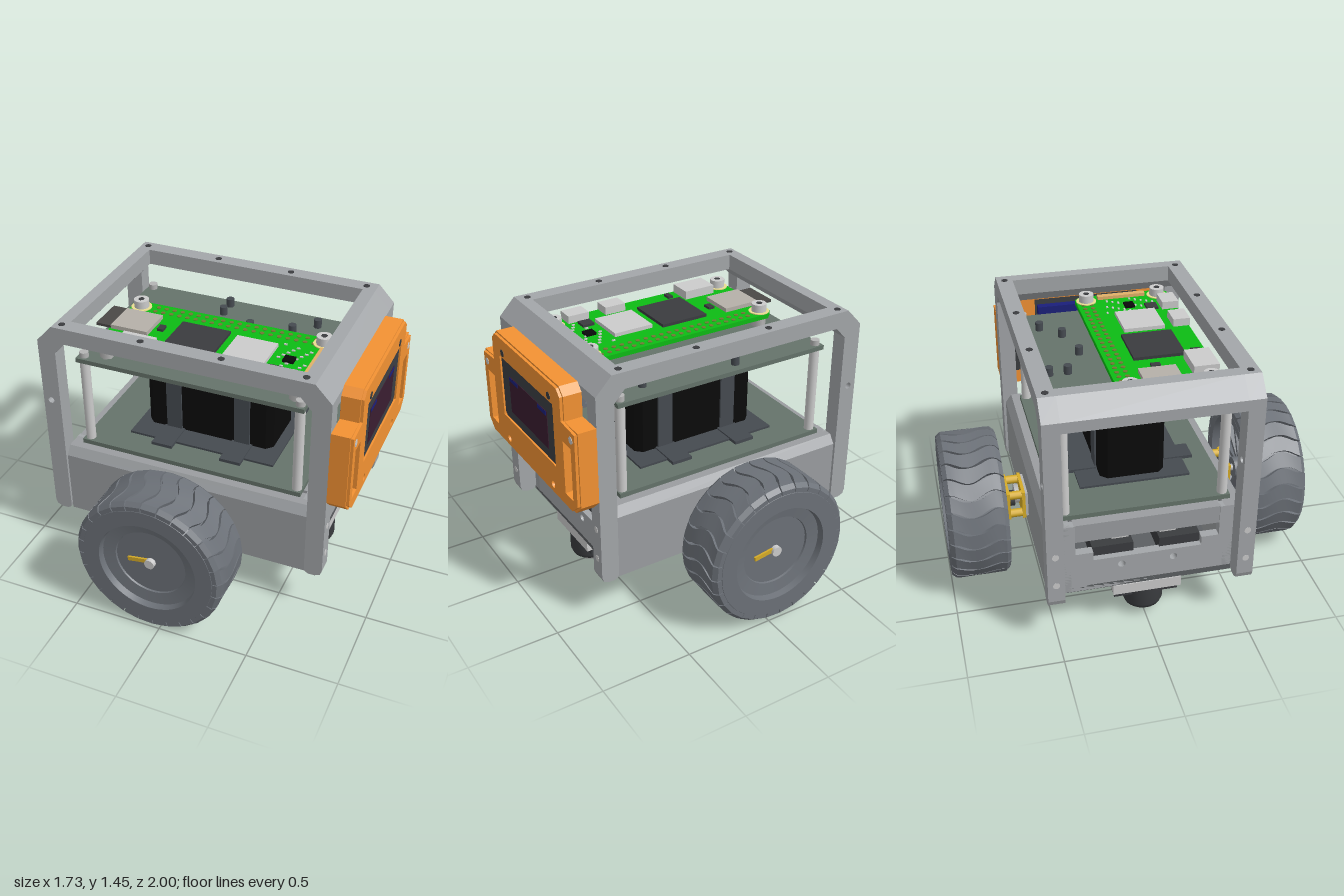
import * as THREE from 'three';
import { toCreasedNormals } from 'three/addons/utils/BufferGeometryUtils.js';

const C = { grey: 0xcccccc, frame: 0xa3a6a9, panel: 0x9a9da0, plate: 0x65736a, dark: 0x3a3c3f, black: 0x0a0a0a,
  tyre: 0x6c7178, orange: 0xf39233, green: 0x0cbc14, brass: 0xd6ac28, blue: 0x1a1f7a, strap: 0x454a50, steel: 0xb4b4b4 };
const mats = {};
const mat = c => (mats[c] ??= new THREE.MeshStandardMaterial({ color: c }));

function add(parent, name, geo, color) {
  const m = new THREE.Mesh(geo, mat(color));
  m.name = name;
  parent.add(m);
  return m;
}
// Box given by its limits
function box(parent, name, color, x0, x1, y0, y1, z0, z1) {
  const m = add(parent, name, new THREE.BoxGeometry(x1 - x0, y1 - y0, z1 - z0), color);
  m.position.set((x0 + x1) / 2, (y0 + y1) / 2, (z0 + z1) / 2);
  return m;
}
// Cylinder given by its centre and axis
function cyl(parent, name, color, r, h, x, y, z, axis = 'y', sides = 20) {
  const g = new THREE.CylinderGeometry(r, r, h, sides);
  if (axis === 'x') g.rotateZ(Math.PI / 2);
  if (axis === 'z') g.rotateX(Math.PI / 2);
  const m = add(parent, name, g, color);
  m.position.set(x, y, z);
  return m;
}
const vecs = pts => pts.map(p => new THREE.Vector2(...p));
const poly = pts => new THREE.Shape(vecs(pts));
const extrude = (shape, depth) => new THREE.ExtrudeGeometry(shape, { depth, curveSegments: 10, bevelEnabled: false });
function hole(shape, x, y, r) {
  const p = new THREE.Path();
  p.absarc(x, y, r, 0, Math.PI * 2, true);
  shape.holes.push(p);
}
const rectHole = (shape, x0, x1, y0, y1) => shape.holes.push(new THREE.Path(vecs([[x0, y0], [x0, y1], [x1, y1], [x1, y0]])));
// Rectangle with cut corners
const cutRect = (w, h, c) => poly([[c - w, -h], [w - c, -h], [w, c - h], [w, h - c], [w - c, h], [c - w, h], [-w, h - c], [-w, c - h]]);

// One raised wavy tread bar across the tyre
function treadGeometry(start, width) {
  const n = 14, pos = [], idx = [];
  for (let i = 0; i <= n; i++) {
    const u = i / n, edge = Math.abs(2 * u - 1);
    const hi = 0.412 - 0.02 * Math.max(0, edge - 0.85) / 0.15;
    const a0 = start + 0.055 * Math.sin(u * Math.PI * 2.6), a1 = a0 + width * (1 + 0.07 * Math.sin(u * 14));
    for (const [r, a] of [[0.35, a0], [hi, a0], [hi, a1], [0.35, a1]])
      pos.push(r * Math.cos(a), r * Math.sin(a), 0.676 + 0.322 * u);
  }
  for (let i = 0; i < n; i++) for (let k = 0; k < 4; k++) {
    const a = i * 4 + k, b = i * 4 + (k + 1) % 4;
    idx.push(a, b, b + 4, a, b + 4, a + 4);
  }
  const e = n * 4;
  idx.push(0, 2, 1, 0, 3, 2, e, e + 1, e + 2, e, e + 2, e + 3);
  const g = new THREE.BufferGeometry();
  g.setAttribute('position', new THREE.Float32BufferAttribute(pos, 3));
  g.setIndex(idx);
  return toCreasedNormals(g, 0.5);
}

// Wheel, gearbox and motor of one side, centred on the axle
function createDrive() {
  const g = new THREE.Group();
  const profile = vecs([[0, 0.8], [0.3, 0.8], [0.31, 0.675], [0.355, 0.675], [0.385, 0.71], [0.385, 0.965], [0.365, 1],
    [0.275, 1], [0.268, 0.965], [0.2, 0.955], [0.197, 0.945], [0, 0.945]]);
  add(g, 'wheel', toCreasedNormals(new THREE.LatheGeometry(profile, 56).rotateX(Math.PI / 2), 0.5), C.tyre);
  const n = 28, step = Math.PI * 2 / n;
  for (let i = 0; i < n; i++) add(g, 'treadBar', treadGeometry(i * step, step * 0.88), C.tyre);
  for (let i = 0; i < 6; i++) {
    const s = box(g, 'wheelRib', C.tyre, -0.3, 0.3, -0.012, 0.012, 0.74, 0.81);
    s.rotation.z = i * Math.PI / 6;
  }
  cyl(g, 'hub', C.tyre, 0.06, 0.12, 0, 0, 0.76, 'z');
  cyl(g, 'hubCap', C.grey, 0.028, 0.03, 0, 0, 0.955, 'z');
  const pin = box(g, 'hubPin', C.brass, -0.13, 0, -0.012, 0.012, 0.94, 0.956);
  pin.rotation.z = 0.15;
  cyl(g, 'axle', C.steel, 0.02, 0.2, 0, 0, 0.69, 'z');
  // Gearbox between brass plates
  for (const z of [0.55, 0.635]) box(g, 'gearboxPlate', C.brass, -0.105, 0.105, -0.085, 0.085, z, z + 0.018);
  for (const x of [-0.08, 0.08]) for (const y of [-0.06, 0.06]) cyl(g, 'gearboxPost', C.brass, 0.024, 0.1, x, y, 0.6, 'z', 12);
  cyl(g, 'gear', C.steel, 0.055, 0.025, -0.025, 0, 0.585, 'z', 16);
  cyl(g, 'gear', C.dark, 0.045, 0.025, 0.03, 0.01, 0.617, 'z', 16);
  box(g, 'motor', C.steel, -0.1, 0.1, -0.075, 0.075, 0.12, 0.55);
  return g;
}

function createFrame(g) {
  // Side hoops with chamfered corners and legs
  for (const s of [-1, 1]) {
    const hoop = poly([[-0.82, 0.25], [-0.785, 0.25], [-0.765, 0.262], [-0.76, 0.29], [-0.76, 1.29], [-0.7, 1.355], [0.59, 1.355],
      [0.65, 1.29], [0.65, 0.29], [0.655, 0.262], [0.675, 0.25], [0.71, 0.25], [0.74, 0.262], [0.75, 0.29], [0.75, 1.35],
      [0.66, 1.445], [-0.77, 1.445], [-0.86, 1.35], [-0.86, 0.29], [-0.85, 0.262]]);
    hole(hoop, -0.815, 0.985, 0.018);
    add(g, 'sideHoop', extrude(hoop, 0.09), C.frame).position.z = s > 0 ? 0.46 : -0.55;
    const wall = extrude(poly([[0.41, 0.25], [0.535, 0.25], [0.535, 0.62], [0.5, 0.67], [0.41, 0.67]]), 1.41);
    wall.rotateY(-Math.PI / 2);
    if (s < 0) wall.rotateY(Math.PI);
    add(g, 'sideWall', wall, C.panel).position.x = s > 0 ? 0.65 : -0.76;
    for (const x of [-0.73, -0.28, 0.16, 0.6]) cyl(g, 'topScrew', C.dark, 0.018, 0.004, x, 1.445, s * 0.505);
    for (const x of [-0.86, 0.75]) for (const y of [0.39, 0.57]) cyl(g, 'legScrew', C.grey, 0.018, 0.004, x, y, s * 0.505, 'x');
  }
  // Two ends, mirrored about the frame's centre
  const bar = poly([[-0.86, 1.29], [-0.76, 1.29], [-0.7, 1.355], [-0.7, 1.445], [-0.77, 1.445], [-0.86, 1.35]]);
  for (const s of [-1, 1]) {
    const end = new THREE.Group();
    end.name = 'frameEnd';
    end.position.x = -0.055;
    end.rotation.y = s > 0 ? Math.PI : 0;
    g.add(end);
    add(end, 'topEndBar', extrude(bar, 0.92), C.frame).position.set(0.055, 0, -0.46);
    // Wall set back between the legs
    const wall = poly([[-0.46, 0.25], [0.46, 0.25], [0.46, 0.67], [0.385, 0.67], [0.385, 0.49], [0.29, 0.49], [0.29, 0.44],
      [-0.29, 0.44], [-0.29, 0.49], [-0.385, 0.49], [-0.385, 0.67], [-0.46, 0.67]]);
    for (const z of [-0.14, 0.14]) hole(wall, z, 0.39, 0.02);
    add(end, 'endWall', extrude(wall, 0.05).rotateY(Math.PI / 2), C.frame).position.x = -0.705;
    box(end, 'endBeam', C.panel, -0.7, -0.62, 0.565, 0.67, -0.39, 0.39);
    for (const z of [-1, 1]) {
      box(end, 'motorBracket', C.dark, -0.67, -0.45, 0.4, 0.495, z * 0.18 - 0.11, z * 0.18 + 0.11);
      box(end, 'bracketTab', C.grey, -0.62, -0.54, 0.495, 0.55, z * 0.13 - 0.045, z * 0.13 + 0.045);
    }
  }
  box(g, 'floor', 0x5c5f62, -0.76, 0.65, 0.248, 0.28, -0.46, 0.46);
  for (const x of [-0.35, -0.05, 0.25]) for (const z of [-0.25, 0.25]) cyl(g, 'floorHole', C.steel, 0.015, 0.006, x, 0.248, z);
}

// Ball casters under each end
function createCaster(g, x) {
  box(g, 'casterSpacer', C.grey, x - 0.11, x + 0.11, 0.19, 0.25, -0.185, 0.185);
  box(g, 'casterFlange', C.dark, x - 0.08, x + 0.08, 0.15, 0.19, -0.175, 0.175);
  const cup = new THREE.LatheGeometry(vecs([[0.085, 0.06], [0.1, 0.06], [0.11, 0.085], [0.11, 0.19]]), 28);
  add(g, 'casterCup', cup, C.dark).position.x = x;
  const ball = add(g, 'casterBall', new THREE.SphereGeometry(0.088, 28, 18), C.grey);
  ball.position.set(x, 0.088, 0);
  for (const z of [-0.14, 0.14]) cyl(g, 'casterScrew', C.steel, 0.025, 0.035, x, 0.137, z, 'y', 12);
}

// Decks, pillars and battery
function createDecks(g) {
  box(g, 'lowerDeck', C.plate, -0.7, 0.58, 0.672, 0.698, -0.455, 0.455);
  box(g, 'upperDeck', C.plate, -0.7, 0.58, 1.197, 1.222, -0.455, 0.455);
  for (const x of [-0.665, 0.55]) for (const z of [-0.42, 0.42]) {
    cyl(g, 'deckPillar', C.grey, 0.027, 0.5, x, 0.948, z);
    cyl(g, 'pillarScrew', C.steel, 0.025, 0.03, x, 1.237, z);
  }
  for (const [x, z] of [[-0.16, -0.39], [-0.16, -0.29], [0.04, -0.19], [0.27, -0.24], [0.38, -0.35]])
    cyl(g, 'deckPeg', C.strap, 0.022, 0.05, x, 1.245, z);
  box(g, 'batteryTray', C.strap, -0.48, 0.37, 0.698, 0.71, -0.3, 0.3);
  const battery = add(g, 'battery', extrude(cutRect(0.373, 0.175, 0.035), 0.44).rotateX(-Math.PI / 2), C.black);
  battery.position.set(-0.058, 0.71, 0);
  for (const x of [-0.262, 0.143]) {
    box(g, 'batteryStrap', C.strap, x - 0.045, x + 0.045, 0.71, 1.165, -0.185, 0.185);
    box(g, 'strapFoot', C.strap, x - 0.06, x + 0.06, 0.7, 0.718, -0.36, 0.36);
  }
}

// Small computer board on top
function createBoard(g) {
  const board = add(g, 'circuitBoard', extrude(cutRect(0.595, 0.275, 0.035), 0.026).rotateX(-Math.PI / 2), C.green);
  board.position.set(-0.015, 1.28, 0.165);
  for (const x of [-0.553, 0.512]) for (const z of [-0.05, 0.37]) {
    cyl(g, 'boardStandoff', C.steel, 0.04, 0.062, x, 1.252, z, 'y', 6);
    cyl(g, 'boardRing', 0xe8de90, 0.058, 0.006, x, 1.308, z);
    cyl(g, 'boardScrew', C.grey, 0.042, 0.05, x, 1.33, z);
    cyl(g, 'screwSocket', C.dark, 0.018, 0.004, x, 1.355, z, 'y', 6);
  }
  const parts = [['processor', C.dark, -0.26, 0.02, 0.04, 0.32, 0.018], ['radioShield', C.grey, 0.07, 0.3, 0.07, 0.3, 0.022],
    ['cardSlot', 0xb5b0a8, -0.6, -0.385, 0.03, 0.23, 0.024], ['memoryCard', 0x4a4846, -0.69, -0.57, 0.02, 0.225, 0.015],
    ['videoPort', C.grey, -0.48, -0.29, 0.3, 0.435, 0.05], ['usbPort', C.grey, 0.08, 0.205, 0.35, 0.445, 0.045],
    ['usbPort', C.grey, 0.31, 0.435, 0.35, 0.445, 0.045], ['cameraPort', 0xe0b068, 0.515, 0.55, 0.02, 0.3, 0.02],
    ['chip', C.black, 0.37, 0.43, 0.15, 0.205, 0.015], ['chip', C.dark, 0.32, 0.39, 0.265, 0.33, 0.015],
    ['chip', C.dark, -0.36, -0.325, 0.11, 0.16, 0.015], ['chip', C.dark, -0.24, -0.21, 0.36, 0.41, 0.015]];
  for (const [name, c, x0, x1, z0, z1, h] of parts) box(g, name, c, x0, x1, 1.305, 1.305 + h, z0, z1);
  for (const z of [0.38, 0.41]) for (const x of [0.1425, 0.3725]) box(g, 'portMouth', C.black, x - 0.045, x + 0.045, 1.315, 1.34, z, 0.447);
  for (let i = 0; i < 20; i++) {
    for (const z of [-0.075, -0.03]) cyl(g, 'headerHole', 0x6f7a35, 0.013, 0.004, -0.46 + i * 0.0485, 1.307, z, 'y', 8);
    const x = 0.32 + 0.17 * ((i * 37) % 20) / 20, z = 0.03 + 0.3 * ((i * 13) % 20) / 20;
    box(g, 'smallPart', C.grey, x, x + 0.018, 1.305, 1.312, z, z + 0.01);
  }
}

// Display in its bezel at the +x end
function createDisplay(g) {
  const back = poly([[-0.49, 0.7], [0.49, 0.7], [0.55, 0.76], [0.55, 1.185], [0.41, 1.185], [0.41, 1.32], [0.37, 1.36],
    [-0.37, 1.36], [-0.41, 1.32], [-0.41, 1.185], [-0.55, 1.185], [-0.55, 0.76]]);
  const rim = poly([[-0.48, 0.71], [0.48, 0.71], [0.54, 0.765], [0.54, 1.175], [0.4, 1.185], [0.4, 1.315], [0.365, 1.35],
    [-0.365, 1.35], [-0.4, 1.315], [-0.4, 1.185], [-0.54, 1.175], [-0.54, 0.765]]);
  for (const s of [back, rim]) {
    rectHole(s, -0.315, 0.315, 0.885, 1.24);
    for (const k of [-1, 1]) {
      rectHole(s, k * 0.453 - 0.042, k * 0.453 + 0.042, 0.78, 1.08);
      hole(s, k * 0.27, 0.755, 0.02);
    }
  }
  add(g, 'displayBezel', extrude(back, 0.1).rotateY(Math.PI / 2), C.orange).position.x = 0.75;
  add(g, 'bezelRim', extrude(rim, 0.015).rotateY(Math.PI / 2), C.orange).position.x = 0.85;
  const glass = add(g, 'displayGlass', extrude(cutRect(0.32, 0.18, 0.025), 0.09).rotateY(Math.PI / 2), 0x3c3f43);
  glass.position.set(0.765, 1.0625, 0);
  box(g, 'screen', 0x3a1d30, 0.85, 0.858, 0.94, 1.155, -0.225, 0.225);
  for (const z of [-0.17, 0.17]) box(g, 'screenTab', C.blue, 0.85, 0.86, 1.13, 1.152, z - 0.05, z + 0.05);
  box(g, 'displayBoard', C.blue, 0.72, 0.765, 0.8, 1.2, -0.3, 0.3);
  for (let i = 0; i < 5; i++) box(g, 'displayPin', C.grey, 0.58, 0.72, 0.76, 0.772, -0.12 + i * 0.06, -0.108 + i * 0.06);
  box(g, 'pinHeader', C.dark, 0.65, 0.74, 0.745, 0.8, -0.15, 0.16);
  for (const k of [-1, 1]) {
    box(g, 'slotBacking', C.dark, 0.752, 0.765, 0.77, 1.09, k * 0.425 - 0.025, k * 0.425 + 0.025);
    cyl(g, 'bezelScrew', C.grey, 0.02, 0.006, 0.864, 1.13, k * 0.5, 'x');
    cyl(g, 'bezelScrew', C.dark, 0.02, 0.006, 0.864, 1.27, k * 0.275, 'x');
  }
}

export function createModel() {
  const model = new THREE.Group();
  model.name = 'robot';
  const part = (name, build) => {
    const g = new THREE.Group();
    g.name = name;
    build(g);
    model.add(g);
  };
  part('frame', createFrame);
  part('casters', g => [-0.655, 0.54].forEach(x => createCaster(g, x)));
  part('decks', createDecks);
  part('computer', createBoard);
  part('display', createDisplay);
  for (const side of [0, 1]) {
    const d = createDrive();
    d.name = side ? 'rearDrive' : 'frontDrive';
    d.position.set(-0.055, 0.412, 0);
    d.rotation.y = side * Math.PI;
    model.add(d);
  }
  return model;
}
